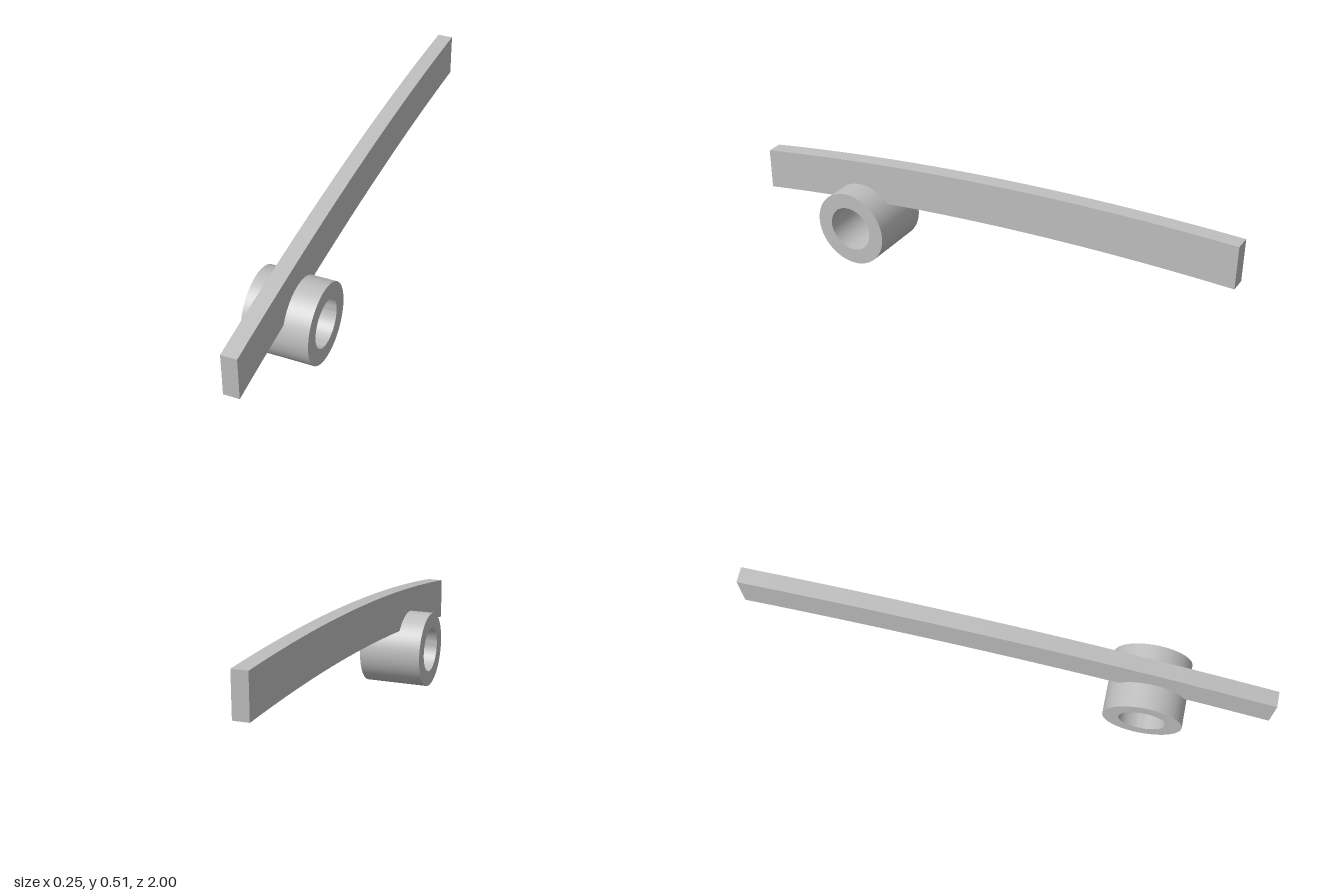
import * as THREE from 'three';
import { toCreasedNormals } from 'three/addons/utils/BufferGeometryUtils.js';

const BAR_WIDTH = 0.06, BAR_HEIGHT = 0.166;
const TUBE_OUTER = 0.151, TUBE_INNER = 0.09, TUBE_HALF = 0.126;

// Height of the bar's upper edge at depth z
const topEdge = (z) => 0.465 - 0.0915 * z - 0.0435 * z * z;

export function createModel() {
  const model = new THREE.Group();
  const grey = new THREE.MeshStandardMaterial({ color: 0xbfbfbf });
  grey.name = 'grey';

  // Gently arched flat bar: side outline extruded across x
  const upper = [], lower = [];
  const steps = 24;
  for (let i = 0; i <= steps; i++) {
    const u = -1 + (2 * i) / steps; // u = -z
    const y = topEdge(-u);
    upper.unshift(new THREE.Vector2(u, y));
    lower.push(new THREE.Vector2(u, y - BAR_HEIGHT));
  }
  const barGeometry = new THREE.ExtrudeGeometry(new THREE.Shape([...lower, ...upper]), {
    depth: BAR_WIDTH, bevelEnabled: false,
  });
  barGeometry.translate(0, 0, -BAR_WIDTH / 2).rotateY(Math.PI / 2);
  const bar = new THREE.Mesh(toCreasedNormals(barGeometry, 0.5), grey);
  bar.name = 'archedBar';
  model.add(bar);

  // Pivot sleeve: hollow tube lying across the bar
  const profile = [
    [TUBE_INNER, -TUBE_HALF], [TUBE_OUTER, -TUBE_HALF],
    [TUBE_OUTER, TUBE_HALF], [TUBE_INNER, TUBE_HALF], [TUBE_INNER, -TUBE_HALF],
  ].map(([r, h]) => new THREE.Vector2(r, h));
  const sleeveGeometry = new THREE.LatheGeometry(profile, 64).rotateZ(Math.PI / 2);
  const sleeve = new THREE.Mesh(toCreasedNormals(sleeveGeometry, 0.5), grey);
  sleeve.name = 'pivotSleeve';
  sleeve.position.set(0, 0.153, 0.535);
  model.add(sleeve);

  return model;
}
